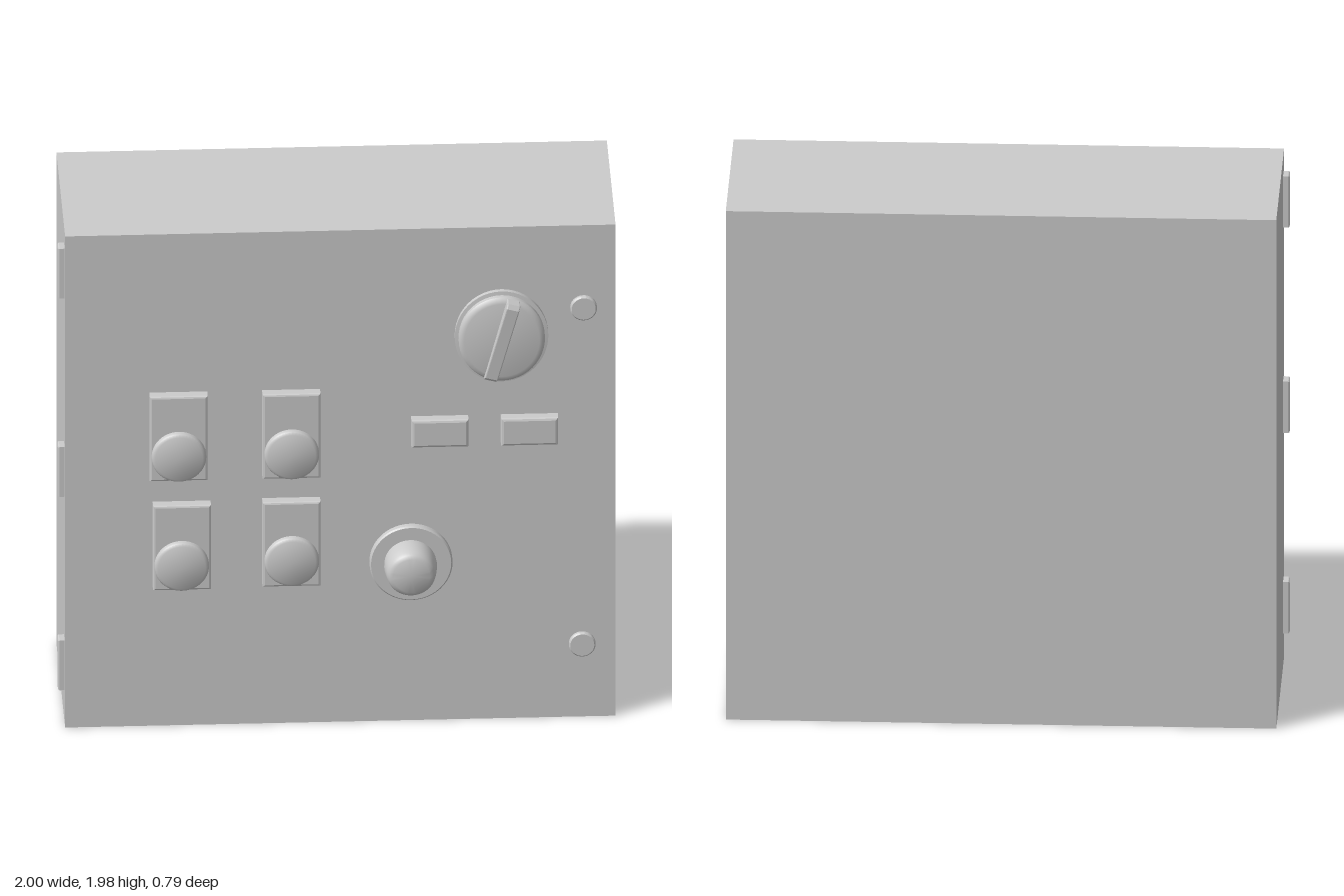
import * as THREE from 'three';
import { toCreasedNormals } from 'three/addons/utils/BufferGeometryUtils.js';

const FRONT = 0.265; // z of the cabinet door
const material = new THREE.MeshStandardMaterial({ color: 0xcccccc });

export function createModel() {
  const model = new THREE.Group();

  const add = (name, geometry, x, y, z, parent = model) => {
    const mesh = new THREE.Mesh(geometry, material);
    mesh.name = name;
    mesh.position.set(x, y, z);
    parent.add(mesh);
    return mesh;
  };

  // Round part turned about z; profile is [radius, height above the door]
  const turned = (profile) => {
    const points = profile.map(([r, h]) => new THREE.Vector2(r, h));
    const geometry = new THREE.LatheGeometry(points, 48).rotateX(Math.PI / 2);
    return toCreasedNormals(geometry, 0.6);
  };

  // Rectangular plate with a chamfered front edge, back at z = 0
  const plate = (w, h, d, bevel) => {
    const a = w / 2 - bevel, b = h / 2 - bevel;
    const shape = new THREE.Shape([
      new THREE.Vector2(-a, -b), new THREE.Vector2(a, -b),
      new THREE.Vector2(a, b), new THREE.Vector2(-a, b),
    ]);
    return new THREE.ExtrudeGeometry(shape, {
      depth: d - bevel, bevelEnabled: true, bevelSize: bevel,
      bevelThickness: bevel, bevelSegments: 2,
    });
  };

  // Cabinet
  add('cabinet', new THREE.BoxGeometry(1.976, 1.98, 0.66), 0.012, 0.99, -0.065);

  // Hinges on the right-hand side
  for (const y of [0.23, 1.01, 1.81]) {
    const hinge = plate(0.05, 0.2, 0.025, 0.006).rotateY(-Math.PI / 2);
    add('hinge', hinge, -0.975, y, 0.2);
  }

  // Push buttons on their label plates: plate centre, then button centre
  const buttons = [
    [-0.57, 1.173, -0.57, 1.11], [-0.165, 1.173, -0.165, 1.11],
    [-0.558, 0.733, -0.56, 0.67], [-0.165, 0.738, -0.165, 0.68],
  ];
  const buttonShape = turned([
    [0.09, 0], [0.09, 0.046], [0.098, 0.05], [0.098, 0.06],
    [0.094, 0.068], [0.085, 0.073], [0, 0.075],
  ]);
  for (const [px, py, bx, by] of buttons) {
    add('buttonPlate', plate(0.208, 0.34, 0.04, 0.008), px, py, FRONT);
    add('pushButton', buttonShape, bx, by, FRONT);
  }

  // Small rectangular indicators
  for (const x of [0.368, 0.69]) {
    add('indicator', plate(0.205, 0.11, 0.04, 0.01), x, 1.17, FRONT);
  }

  // Rotary main switch with a slanted, tapering grip
  const mainSwitch = new THREE.Group();
  mainSwitch.name = 'mainSwitch';
  mainSwitch.position.set(0.59, 1.548, FRONT);
  model.add(mainSwitch);
  const dial = add('switchDial', turned([
    [0.168, 0], [0.168, 0.018], [0.155, 0.02], [0.155, 0.038],
    [0.148, 0.046], [0.135, 0.05], [0, 0.05],
  ]), 0, 0, 0, mainSwitch);
  dial.scale.y = 1.08;
  const side = new THREE.Shape([
    new THREE.Vector2(0, -0.16), new THREE.Vector2(0.055, -0.16),
    new THREE.Vector2(0.065, -0.15), new THREE.Vector2(0.088, 0.145),
    new THREE.Vector2(0.08, 0.16), new THREE.Vector2(0, 0.16),
  ]);
  const grip = new THREE.ExtrudeGeometry(side, {
    depth: 0.04, bevelEnabled: true, bevelSize: 0.003, bevelThickness: 0.004, bevelSegments: 2,
  }).translate(0, 0, -0.02).rotateY(-Math.PI / 2);
  add('switchGrip', grip, 0, 0, 0, mainSwitch).rotation.z = -0.26;

  // Protruding round knob on a flat collar
  add('knobCollar', turned([
    [0.149, 0], [0.149, 0.02], [0.144, 0.025], [0, 0.025],
  ]), 0.265, 0.643, FRONT);
  add('knob', turned([
    [0.093, 0.02], [0.095, 0.05], [0.092, 0.08], [0.087, 0.108],
    [0.08, 0.12], [0.066, 0.128], [0, 0.13],
  ]), 0.262, 0.645, FRONT);

  // Door locks
  for (const [x, y] of [[0.885, 1.65], [0.88, 0.295]]) {
    add('doorLock', turned([
      [0.048, 0], [0.048, 0.011], [0.043, 0.016], [0, 0.016],
    ]), x, y, FRONT);
  }

  return model;
}
